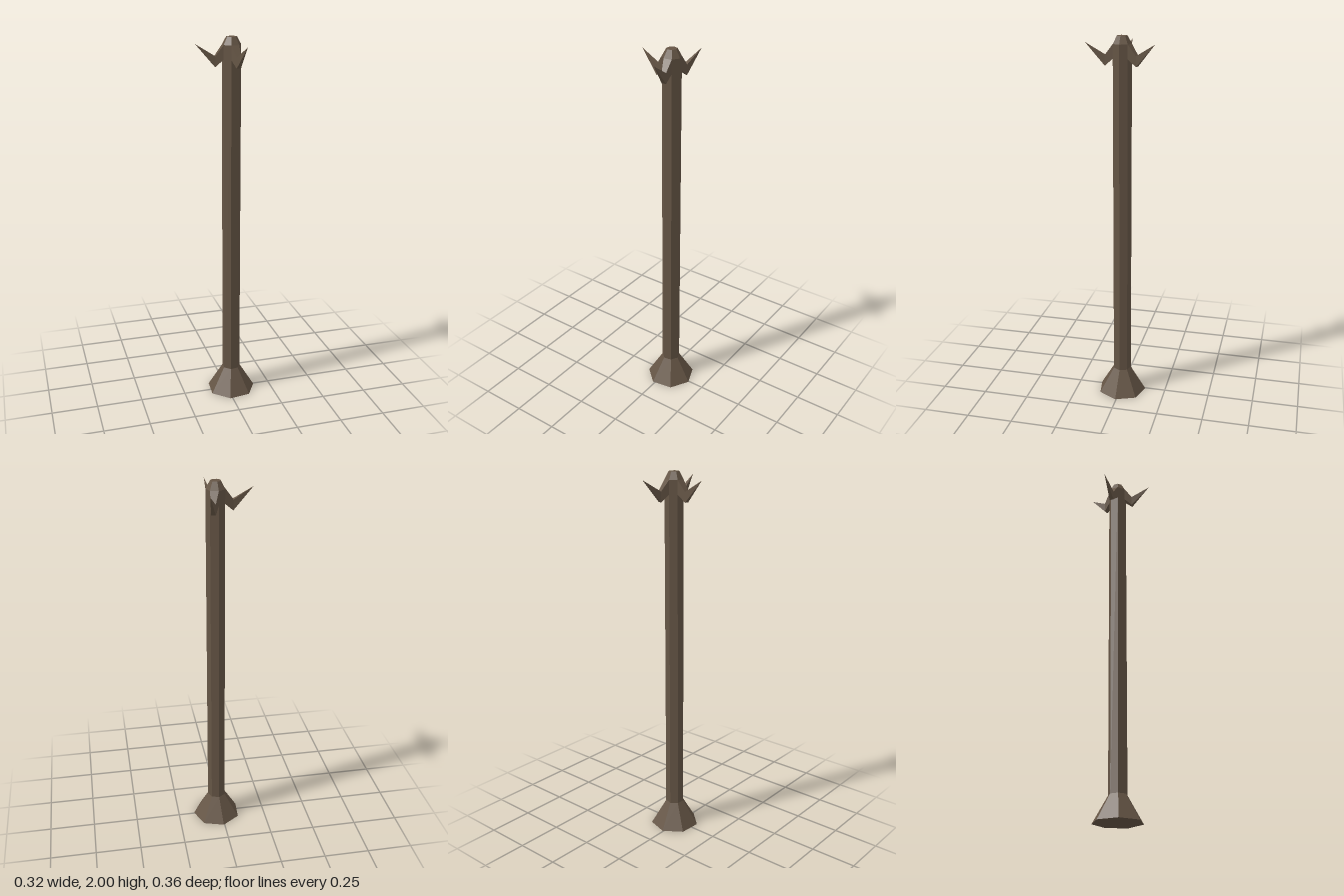
import * as THREE from 'three';

const SIDES = 7;
const STEP = (Math.PI * 2) / SIDES;
const START = THREE.MathUtils.degToRad(86); // turn of the first corner
const R = 0.05;

// Branch made of rectangular cross-sections [distance out, half width, low y, high y], pointing along +z
function branchGeometry(sections) {
  const rings = sections.map(([z, w, y0, y1]) => [[-w, y0, z], [w, y0, z], [w, y1, z], [-w, y1, z]]);
  const pos = [];
  for (let s = 0; s < rings.length - 1; s++) {
    const a = rings[s], b = rings[s + 1];
    const last = s === rings.length - 2; // ends in a point
    for (let i = 0; i < 4; i++) {
      const j = (i + 1) % 4;
      pos.push(...a[i], ...a[j], ...b[j]);
      if (!last) pos.push(...a[i], ...b[j], ...b[i]);
    }
  }
  const g = new THREE.BufferGeometry();
  g.setAttribute('position', new THREE.Float32BufferAttribute(pos, 3));
  g.computeVertexNormals();
  return g;
}

export function createModel() {
  const model = new THREE.Group();
  model.name = 'woodenPost';
  const wood = new THREE.MeshStandardMaterial({ color: 0x655545 });
  wood.name = 'brown wood';
  wood.flatShading = true;

  const post = new THREE.Group();
  post.name = 'post';
  post.position.set(0.026, 0, -0.004);
  model.add(post);

  // Stacked seven-sided pieces
  const ring = (name, rTop, rBottom, y0, y1, open) => {
    const g = new THREE.CylinderGeometry(rTop, rBottom, y1 - y0, SIDES, 1, open, START);
    const m = new THREE.Mesh(g, wood);
    m.name = name;
    m.position.y = (y0 + y1) / 2;
    post.add(m);
  };
  ring('flaredFoot', R, 0.134, 0, 0.14, false);
  ring('shaft', R, R, 0.14, 1.96, true);
  ring('crown', 0.028, R, 1.96, 2, false);

  // Three bent prongs growing out of alternate sides
  const prong = branchGeometry([
    [R * Math.cos(STEP / 2), R * Math.sin(STEP / 2), 1.888, 1.96],
    [0.086, 0.012, 1.851, 1.905],
    [0.187, 0, 1.967, 1.967],
  ]);
  for (const k of [0, 2, 4]) {
    const m = new THREE.Mesh(prong, wood);
    m.name = 'prong';
    m.rotation.y = START - STEP * (k + 1.5);
    post.add(m);
  }
  return model;
}
